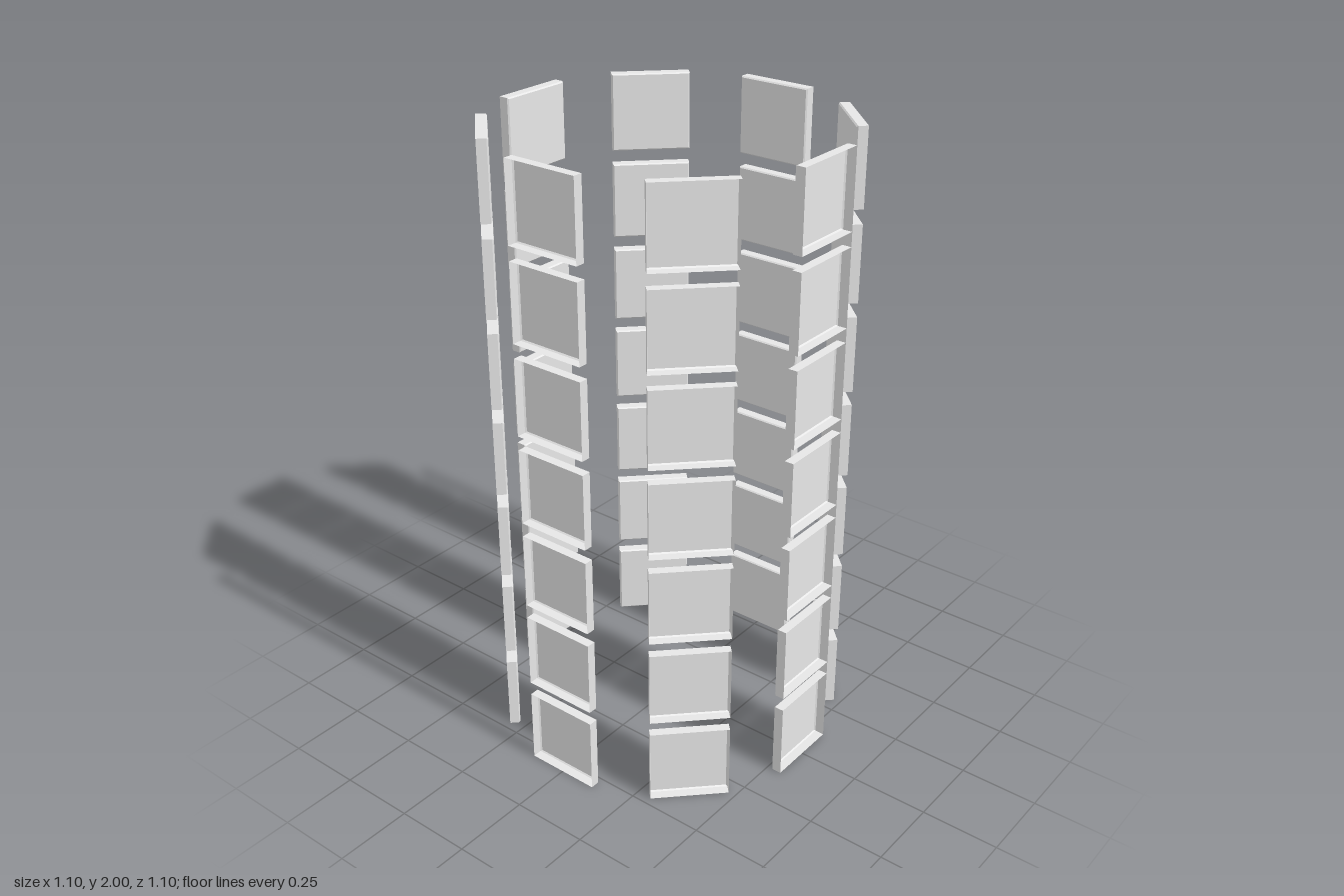
import * as THREE from 'three';

const SIDES = 8;
const ROWS = 7;
const SIZE = 0.247;
const DEPTH = 0.034;
const BEVEL = 0.004;
const RADIUS = 0.532;

// Shallow square tray in thin sheet: open towards +z, closed and bevelled at the back
function trayGeometry() {
  const corner = (half, z) => new THREE.Vector2(half * Math.SQRT2, z);
  const profile = [
    new THREE.Vector2(0, -DEPTH / 2),
    corner(SIZE / 2 - BEVEL, -DEPTH / 2),
    corner(SIZE / 2, -DEPTH / 2 + BEVEL),
    corner(SIZE / 2, DEPTH / 2),
  ];
  const tray = new THREE.LatheGeometry(profile, 4, Math.PI / 4).toNonIndexed();
  tray.rotateX(Math.PI / 2);
  tray.computeVertexNormals();
  return tray;
}

export function createModel() {
  const model = new THREE.Group();
  model.name = 'panelCylinder';

  const grey = new THREE.MeshStandardMaterial({ color: 0xe6e6e6, side: THREE.DoubleSide });
  grey.name = 'light grey';

  const tray = trayGeometry();
  const pitch = (2 - SIZE) / (ROWS - 1);

  // Stacked rings of trays, each opening outwards
  for (let row = 0; row < ROWS; row++) {
    const ring = new THREE.Group();
    ring.name = `ring${row + 1}`;
    ring.position.y = SIZE / 2 + row * pitch;
    for (let i = 0; i < SIDES; i++) {
      const angle = (i / SIDES) * Math.PI * 2;
      const panel = new THREE.Mesh(tray, grey);
      panel.name = `panel${i + 1}`;
      panel.position.set(Math.sin(angle) * RADIUS, 0, Math.cos(angle) * RADIUS);
      panel.rotation.y = angle;
      ring.add(panel);
    }
    model.add(ring);
  }
  return model;
}
